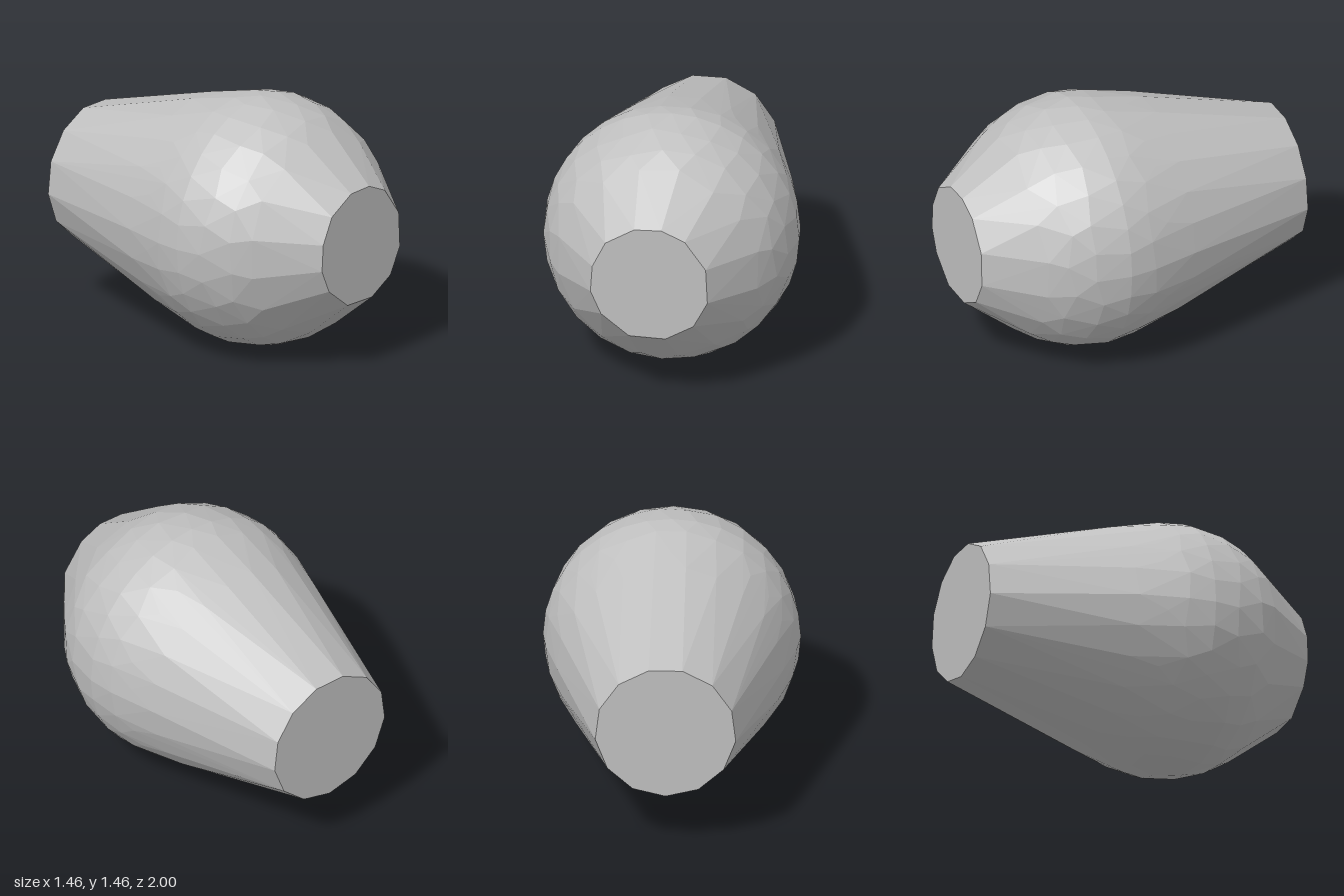
import * as THREE from 'three';
import { ConvexGeometry } from 'three/addons/geometries/ConvexGeometry.js';

const CENTRE_Y = 0.727;

// Small seeded generator, for the slightly uneven facets
function seeded(seed) {
  return () => {
    seed = (seed * 16807) % 2147483647;
    return seed / 2147483647;
  };
}

export function createModel() {
  const group = new THREE.Group();
  group.name = 'facetedBarrel';
  const grey = new THREE.MeshStandardMaterial({ color: 0xc0c0c0 });
  grey.name = 'lightGrey';

  const random = seeded(29);
  const points = [];

  // Flat front end: uneven twelve-sided outline (x, y)
  const front = [
    [-0.09, 1.065], [0.065, 1.07], [0.2, 1.01], [0.32, 0.845], [0.33, 0.64], [0.25, 0.49],
    [0.09, 0.4], [-0.12, 0.405], [-0.28, 0.53], [-0.34, 0.665], [-0.33, 0.82], [-0.255, 0.97],
  ];
  for (const [x, y] of front) points.push(new THREE.Vector3(x, y, 1));

  // Flat back end
  for (let i = 0; i < 13; i++) {
    const a = ((i + 0.5) / 13) * Math.PI * 2;
    points.push(new THREE.Vector3(0.4 * Math.sin(a), CENTRE_Y + 0.4 * Math.cos(a), -1));
  }

  // Round belly: rings of z, radius, sides, unevenness along z
  const rings = [
    [0.7, 0.575, 16, 0.02],
    [0.58, 0.65, 22, 0.025],
    [0.43, 0.705, 26, 0.03],
    [0.25, 0.729, 32, 0],
    [0.1, 0.712, 26, 0.03],
    [-0.03, 0.676, 26, 0.02],
    [-0.19, 0.636, 22, 0.01],
  ];
  rings.forEach(([z, radius, sides, uneven], k) => {
    for (let i = 0; i < sides; i++) {
      const a = ((i + (k % 2 ? 0 : 0.5) * (uneven ? 1 : 0)) / sides) * Math.PI * 2;
      const dz = (random() - 0.5) * 2 * uneven;
      // Follow the belly's curve when a point is moved along z
      const r = radius - dz * (z - 0.25) / radius;
      points.push(new THREE.Vector3(r * Math.sin(a), CENTRE_Y + r * Math.cos(a), z + dz));
    }
  });

  // One convex skin with flat faces over all outlines
  const body = new THREE.Mesh(new ConvexGeometry(points), grey);
  body.name = 'body';
  group.add(body);
  return group;
}
